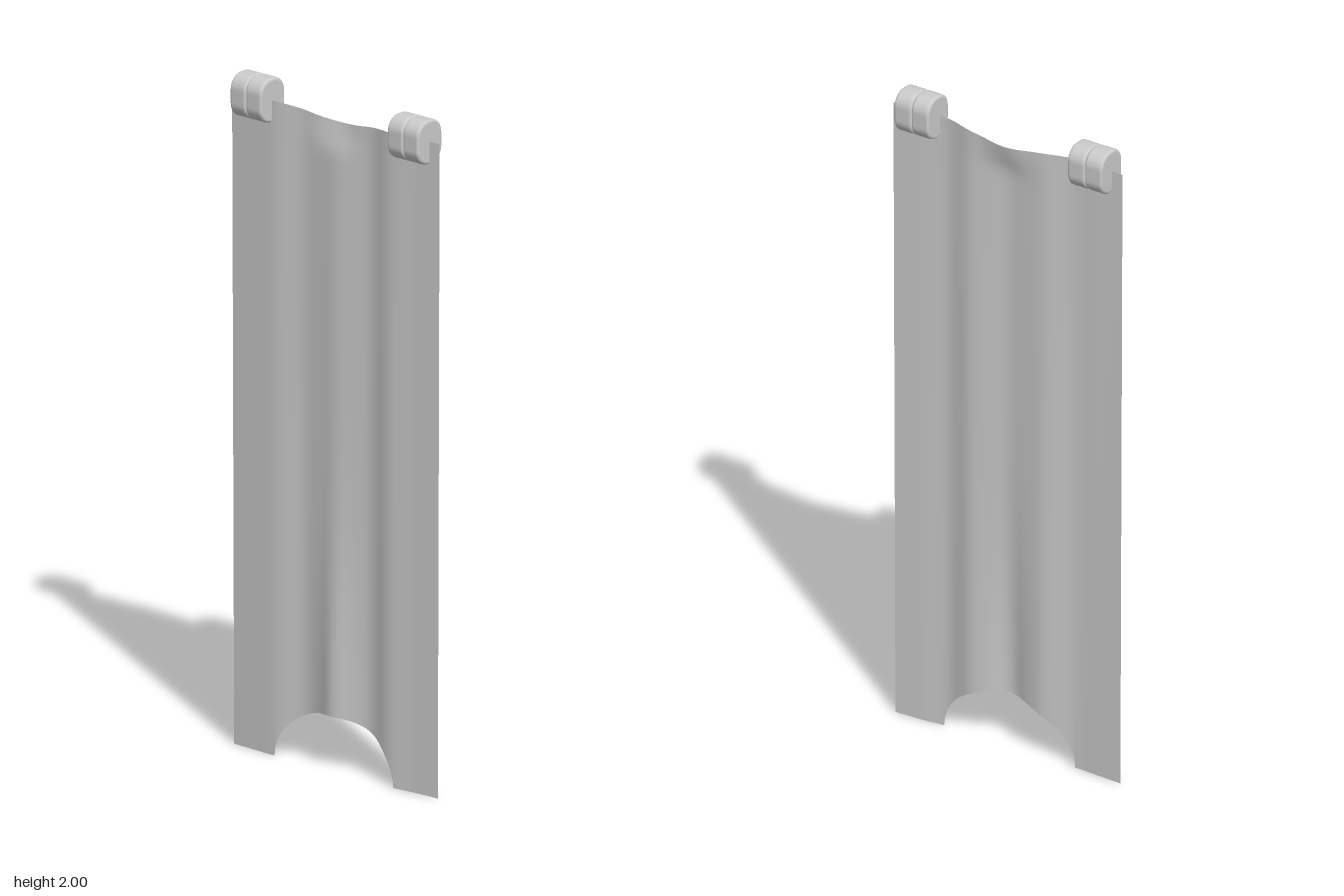
import * as THREE from 'three';

const grey = new THREE.MeshStandardMaterial({ color: 0xcccccc });
const clothGrey = new THREE.MeshStandardMaterial({ color: 0xcccccc, side: THREE.DoubleSide });

// Fold depth across the width, as [x, z] pairs
const foldLine = new THREE.SplineCurve([
  [-0.39, -0.004], [-0.3, 0.001], [-0.22, 0.004], [-0.13, -0.011], [-0.07, -0.006], [0, 0.003],
  [0.07, -0.006], [0.13, -0.011], [0.21, 0.009], [0.3, 0.003], [0.39, 0],
].map(([x, z]) => new THREE.Vector2(x, z)));

const HALF = 0.39, CUT_X = 0.228, CUT_Y = 0.165;

// Gentle vertical folds, a forward bulge over the cutout and a sag backwards at the top
function depth(x, y) {
  const fold = foldLine.getPoint(foldPosition(x)).y * (1 - 0.25 * y / 2);
  const centre = Math.exp(-((x / 0.055) ** 2));
  const bulge = 0.015 * centre * Math.exp(-(((y - 0.2) / 0.45) ** 2));
  const sag = 0.021 * Math.exp(-((x / 0.07) ** 2)) * THREE.MathUtils.smoothstep(y, 1.82, 1.92);
  return fold + bulge - sag;
}

// Curve parameter at which the fold line reaches x
function foldPosition(x) {
  let lo = 0, hi = 1;
  for (let i = 0; i < 24; i++) {
    const mid = (lo + hi) / 2;
    if (foldLine.getPoint(mid).x < x) lo = mid; else hi = mid;
  }
  return lo;
}

// Hanging cloth: columns run from the arched lower hem to the sagging upper hem
function makeCloth() {
  const columns = [];
  for (let i = 0; i < 10; i++) columns.push(-HALF + (HALF - CUT_X) * i / 10);
  for (let i = 0; i <= 44; i++) columns.push(-CUT_X * Math.cos(Math.PI * i / 44));
  for (let i = 1; i <= 10; i++) columns.push(CUT_X + (HALF - CUT_X) * i / 10);
  const rows = 60;
  const geometry = new THREE.PlaneGeometry(1, 1, columns.length - 1, rows);
  const p = geometry.attributes.position;
  for (let r = 0; r <= rows; r++) {
    columns.forEach((x, c) => {
      const bottom = CUT_Y * Math.sqrt(Math.max(0, 1 - (x / CUT_X) ** 2));
      const top = 1.937 - 0.02 * Math.exp(-((x / 0.13) ** 2));
      const y = THREE.MathUtils.lerp(top, bottom, r / rows);
      p.setXYZ(r * columns.length + c, x * (0.988 + 0.009 * y), y, depth(x, y));
    });
  }
  geometry.computeVertexNormals();
  const cloth = new THREE.Mesh(geometry, clothGrey);
  cloth.name = 'cloth';
  return cloth;
}

// One rounded half of a hanging clip, extruded along x with bevelled rims
function makeClipGeometry() {
  const bevel = 0.008, w = 0.052 - bevel, h = 0.065 - bevel, r = 0.037;
  const s = new THREE.Shape();
  s.moveTo(w, -h + r);
  s.absarc(w - r, h - r, r, 0, Math.PI / 2);
  s.absarc(-w + r, h - r, r, Math.PI / 2, Math.PI);
  s.absarc(-w + r, -h + r, r, Math.PI, Math.PI * 1.5);
  s.absarc(w - r, -h + r, r, Math.PI * 1.5, Math.PI * 2);
  const geometry = new THREE.ExtrudeGeometry(s, {
    depth: 0.059 - 2 * bevel, bevelThickness: bevel, bevelSize: bevel, bevelSegments: 3, curveSegments: 10,
  });
  geometry.translate(0, 0, -(0.059 - 2 * bevel) / 2);
  geometry.rotateY(Math.PI / 2);
  return geometry;
}

export function createModel() {
  const model = new THREE.Group();
  model.name = 'hangingBanner';
  model.add(makeCloth());

  // A pair of clip halves near each upper corner
  const clipGeometry = makeClipGeometry();
  for (const side of [1, -1]) {
    const clip = new THREE.Group();
    clip.name = side > 0 ? 'leftClip' : 'rightClip';
    clip.position.set(side * 0.296, 1.935, -0.002);
    for (const half of [1, -1]) {
      const part = new THREE.Mesh(clipGeometry, grey);
      part.name = half * side > 0 ? 'outerClipHalf' : 'innerClipHalf';
      part.position.x = half * 0.0295;
      clip.add(part);
    }
    model.add(clip);
  }
  return model;
}
